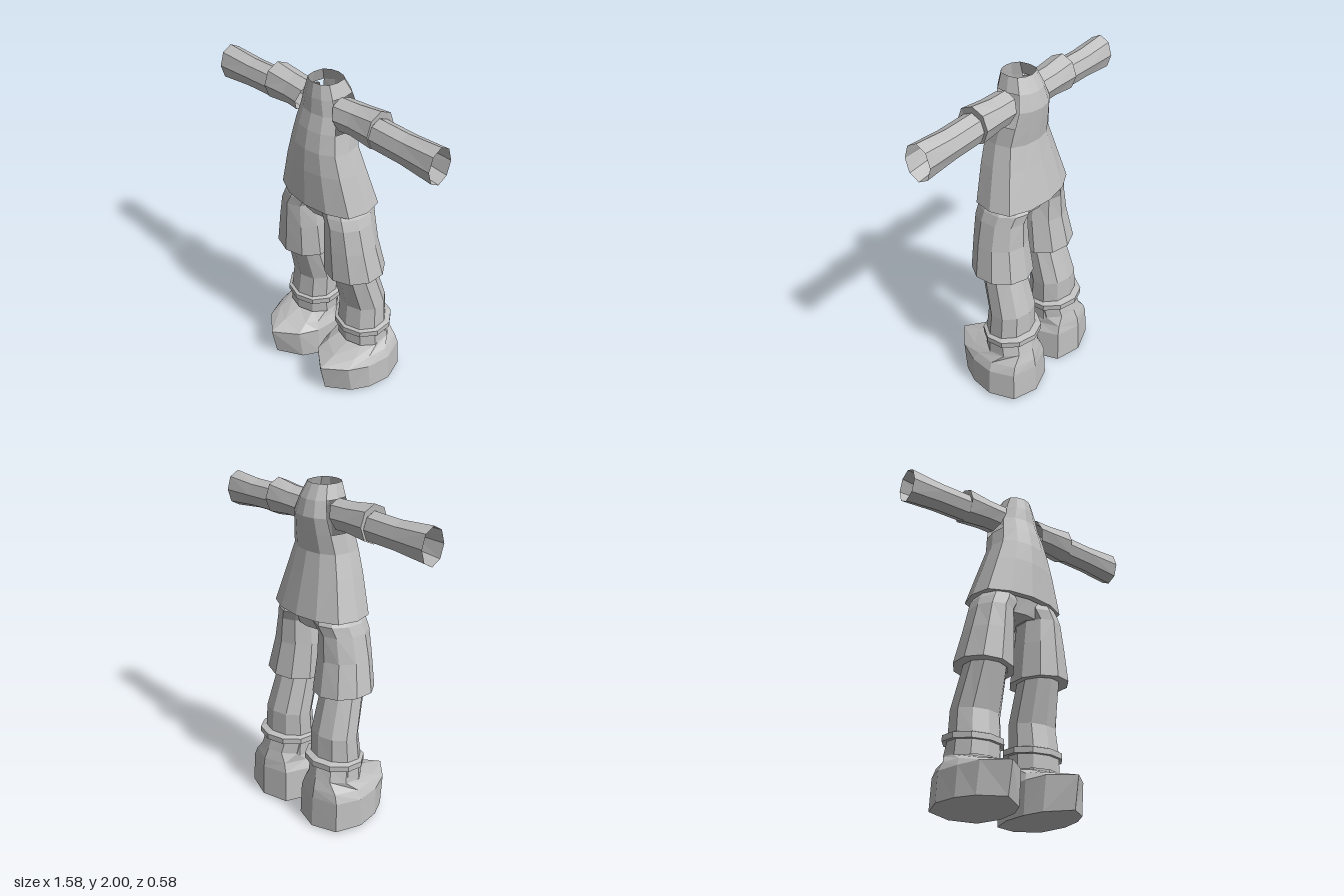
import * as THREE from 'three';

const TAU = Math.PI * 2;

// Skin a list of equal-length rings; optional sole cap, mirroring and skipped quads
function loft(rings, { mirror = false, cap = false, skip = () => false } = {}) {
  const n = rings[0].length, pos = [], idx = [];
  for (const ring of rings) for (const [x, y, z] of ring) pos.push(mirror ? -x : x, y, z);
  const tri = (a, b, c) => (mirror ? idx.push(a, c, b) : idx.push(a, b, c));
  for (let i = 0; i < rings.length - 1; i++) {
    for (let j = 0; j < n; j++) {
      if (skip(i, j)) continue;
      const k = (j + 1) % n;
      const a = i * n + j, b = i * n + k, c = a + n, d = b + n;
      tri(a, b, d);
      tri(a, d, c);
    }
  }
  if (cap) for (let j = 1; j < n - 1; j++) tri(0, j + 1, j);
  const g = new THREE.BufferGeometry();
  g.setAttribute('position', new THREE.Float32BufferAttribute(pos, 3));
  g.setIndex(idx);
  const flat = g.toNonIndexed();
  flat.computeVertexNormals();
  return flat;
}

// Horizontal ten-sided ring from its x and z limits; tilt is the rise towards +z
function legRing(y, x0, x1, zBack, zFront, tilt = 0) {
  const cx = (x0 + x1) / 2, cz = (zBack + zFront) / 2;
  return Array.from({ length: 10 }, (_, j) => {
    const a = (j / 10) * TAU, c = Math.cos(a);
    return [cx + Math.sin(a) * (x1 - x0) / 2 * 1.05, y + tilt * c, cz + c * (zFront - zBack) / 2];
  });
}

// Upright eight-sided ring across the arm; lean shifts the lower half outwards
function armRing(x, yLow, yHigh, zBack, zFront, lean = 0) {
  const cy = (yLow + yHigh) / 2, cz = (zBack + zFront) / 2;
  return Array.from({ length: 8 }, (_, j) => {
    const a = (j / 8) * TAU, s = Math.sin(a);
    return [x + lean * s, cy - s * (yHigh - yLow) / 2, cz + Math.cos(a) * (zFront - zBack) / 2];
  });
}

// Twelve-sided body section: half width, back and front depth
const SECTION = [[0, 1], [0.5, 0.9], [0.9, 0.6], [1, 0], [0.9, -0.6], [0.5, -0.9],
  [0, -1], [-0.5, -0.9], [-0.9, -0.6], [-1, 0], [-0.9, 0.6], [-0.5, 0.9]];
function bodyRing(y, w, zBack, zFront) {
  const cz = (zBack + zFront) / 2, d = (zFront - zBack) / 2;
  return SECTION.map(([x, z]) => [x * w, y, cz + z * d]);
}

// Shoe outline seen from above, toe first, going round the outer side
const SHOE = [[0.225, 0.29], [0.36, 0.18], [0.42, 0.06], [0.445, -0.09], [0.39, -0.24],
  [0.23, -0.29], [0.07, -0.24], [0.02, -0.09], [0.03, 0.06], [0.08, 0.18]];

export function createModel() {
  const model = new THREE.Group();
  model.name = 'headlessOutfit';
  const cloth = new THREE.MeshStandardMaterial({ color: 0xc0c0c0, side: THREE.DoubleSide, flatShading: true });
  cloth.name = 'plain grey';
  const add = (name, geometry) => {
    const mesh = new THREE.Mesh(geometry, cloth);
    mesh.name = name;
    model.add(mesh);
  };

  // Flared shirt with open neck and arm holes
  add('shirt', loft([
    bodyRing(1.27, 0.24, -0.15, 0.15),
    bodyRing(1.27, 0.3, -0.2, 0.188),
    bodyRing(1.5, 0.23, -0.145, 0.188),
    bodyRing(1.63, 0.188, -0.115, 0.18),
    bodyRing(1.74, 0.168, -0.13, 0.158),
    bodyRing(1.83, 0.15, -0.14, 0.13),
    bodyRing(1.92, 0.12, -0.115, 0.125),
    bodyRing(2.0, 0.09, -0.07, 0.11),
  ], { skip: (i, j) => (i === 4 || i === 5) && [2, 3, 8, 9].includes(j) }));

  // Hip piece joining the shorts
  add('hips', loft([
    bodyRing(1.19, 0.01, -0.01, 0.01),
    bodyRing(1.18, 0.14, -0.12, 0.12),
    bodyRing(1.28, 0.22, -0.14, 0.14),
  ]));

  for (const [side, mirror] of [['left', false], ['right', true]]) {
    // Short sleeve with a stepped cuff
    add(side + 'Sleeve', loft([
      armRing(0.14, 1.745, 1.925, -0.075, 0.115, 0.03),
      armRing(0.24, 1.75, 1.93, -0.08, 0.11),
      armRing(0.39, 1.73, 1.95, -0.085, 0.115),
      armRing(0.385, 1.74, 1.91, -0.06, 0.1),
    ], { mirror }));

    // Open-ended long sleeve
    add(side + 'Arm', loft([
      armRing(0.385, 1.735, 1.91, -0.06, 0.1),
      armRing(0.58, 1.73, 1.905, -0.06, 0.1),
      armRing(0.79, 1.705, 1.92, -0.06, 0.105),
    ], { mirror }));

    // Wide leg of the shorts, its hem lower on the inner side
    const hem = (x0, x1, zb, zf) => legRing(0.825, x0, x1, zb, zf)
      .map(([x, y, z]) => [x, y - (0.205 - x) * 0.07, z]);
    add(side + 'ShortsLeg', loft([
      hem(0.07, 0.31, -0.13, 0.12),
      hem(0.03, 0.375, -0.195, 0.165),
      legRing(1.03, 0.04, 0.335, -0.155, 0.165),
      legRing(1.18, 0.055, 0.3, -0.15, 0.165),
      legRing(1.24, 0.02, 0.28, -0.165, 0.16),
      legRing(1.3, 0.02, 0.24, -0.13, 0.14),
    ], { mirror }));

    // Trouser leg
    add(side + 'Leg', loft([
      legRing(0.29, 0.06, 0.37, -0.23, 0.06),
      legRing(0.42, 0.06, 0.36, -0.22, 0.06),
      legRing(0.57, 0.06, 0.35, -0.215, 0.045, -0.01),
      legRing(0.86, 0.07, 0.315, -0.13, 0.12),
    ], { mirror }));

    // Ankle band
    add(side + 'AnkleBand', loft([
      legRing(0.385, 0.065, 0.355, -0.22, 0.055, -0.012),
      legRing(0.385, 0.035, 0.385, -0.26, 0.08, -0.012),
      legRing(0.42, 0.035, 0.385, -0.26, 0.08, -0.012),
      legRing(0.43, 0.065, 0.355, -0.22, 0.055, -0.012),
    ], { mirror }));

    // Bulky shoe: sole, side wall, sloping instep and ankle
    const sole = SHOE.map(([x, z]) => [x, Math.max(0, x * 0.06 + z * 0.03), z > 0 ? z * 0.87 : z]);
    const wall = SHOE.map(([x, z]) => [0.225 + (x - 0.225) * 0.96, z > 0.1 ? 0.21 : 0.2, z > -0.2 ? z : z * 0.97]);
    add(side + 'Shoe', loft([
      sole,
      wall,
      SHOE.map(([x, z]) => [0.225 + (x - 0.225) * 0.84, 0.25 - z * 0.02, z > 0 ? z * 0.6 : z * 0.94]),
      legRing(0.3, 0.07, 0.37, -0.25, 0.05, -0.02),
      legRing(0.39, 0.06, 0.36, -0.23, 0.06),
    ], { mirror, cap: true }));
  }
  return model;
}
